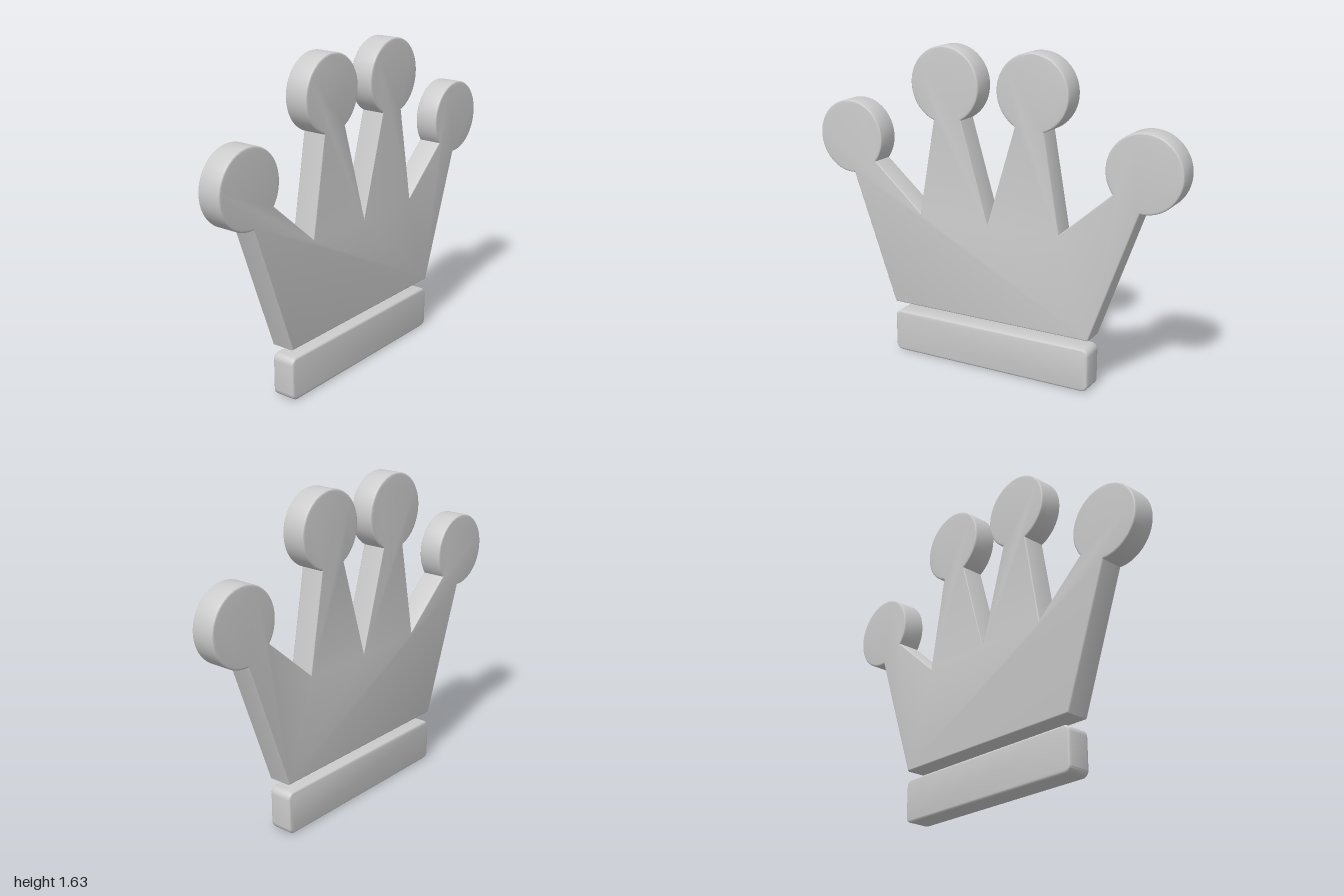
import * as THREE from 'three';
import { toCreasedNormals } from 'three/addons/utils/BufferGeometryUtils.js';

const DEPTH = 0.125;
const BALL_R = 0.19;

// Slab cut from an outline, centred on z, with a small rounded edge inside the outline
function slab(name, shape, bevel, material) {
  const geometry = new THREE.ExtrudeGeometry(shape, {
    depth: DEPTH - 2 * bevel,
    bevelThickness: bevel,
    bevelSize: bevel,
    bevelOffset: -bevel,
    bevelSegments: 3,
    curveSegments: 48,
  });
  geometry.translate(0, 0, bevel - DEPTH / 2);
  const mesh = new THREE.Mesh(toCreasedNormals(geometry, 0.6), material);
  mesh.name = name;
  return mesh;
}

// Round tip: counter-clockwise arc between the two points where it meets its spike
function tip(shape, cx, cy, from, to) {
  const angle = ([x, y]) => Math.atan2(y - cy, x - cx);
  shape.absarc(cx, cy, BALL_R, angle(from), angle(to), false);
}

function crownShape() {
  const mirror = ([x, y]) => [-x, y];
  const outer = [[0.795, 0.94], [0.66, 1.015]];
  const inner = [[0.302, 1.27], [0.15, 1.28]];
  const s = new THREE.Shape();
  s.moveTo(-0.555, 0.27);
  s.lineTo(0.555, 0.27);
  tip(s, 0.81, 1.13, outer[0], outer[1]);
  s.lineTo(0.39, 0.78);
  tip(s, 0.24, 1.445, inner[0], inner[1]);
  s.lineTo(0, 0.775);
  tip(s, -0.24, 1.445, mirror(inner[1]), mirror(inner[0]));
  s.lineTo(-0.39, 0.78);
  tip(s, -0.81, 1.13, mirror(outer[1]), mirror(outer[0]));
  s.closePath();
  return s;
}

function baseShape(w, h, r) {
  const s = new THREE.Shape();
  const x = w / 2 - r;
  s.absarc(x, r, r, -Math.PI / 2, 0, false);
  s.absarc(x, h - r, r, 0, Math.PI / 2, false);
  s.absarc(-x, h - r, r, Math.PI / 2, Math.PI, false);
  s.absarc(-x, r, r, Math.PI, Math.PI * 1.5, false);
  s.closePath();
  return s;
}

export function createModel() {
  const material = new THREE.MeshStandardMaterial({ color: 0xcccccc });
  const group = new THREE.Group();
  group.name = 'crown';
  group.add(
    slab('crownBody', crownShape(), 0.008, material),
    slab('baseBar', baseShape(1.115, 0.222, 0.035), 0.012, material)
  );
  return group;
}
